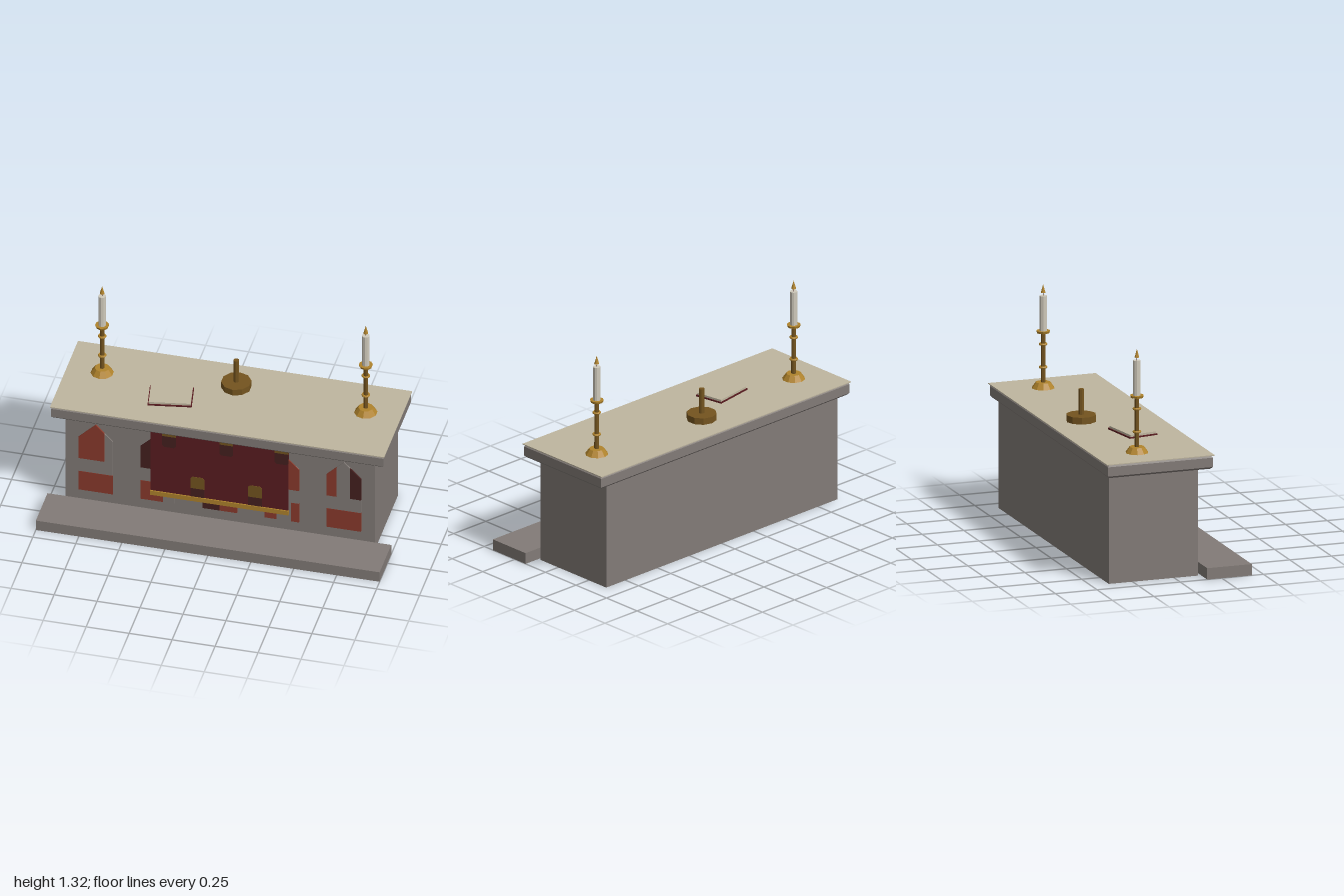
import * as THREE from 'three';

const mat = (name, color) => {
  const m = new THREE.MeshStandardMaterial({ color, flatShading: true });
  m.name = name;
  return m;
};

export function createModel() {
  const root = new THREE.Group();
  root.name = 'altar';
  const stone = mat('stone', 0x827b77);
  const linen = mat('linen', 0xbfb69f);
  const wax = mat('wax', 0xcfc9ba);
  const gold = mat('gold', 0xb0832c);
  const bronze = mat('bronze', 0x74541f);
  const brick = mat('brickRed', 0x8a3a2c);
  const crimson = mat('crimson', 0x5a1c20);
  const maroon = mat('maroon', 0x45201f);

  const add = (name, geo, material, x = 0, y = 0, z = 0, parent = root) => {
    const m = new THREE.Mesh(geo, material);
    m.name = name;
    m.position.set(x, y, z);
    parent.add(m);
    return m;
  };
  // box given by its lower and upper limits
  const block = (name, material, x0, x1, y0, y1, z0, z1) =>
    add(name, new THREE.BoxGeometry(x1 - x0, y1 - y0, z1 - z0), material,
      (x0 + x1) / 2, (y0 + y1) / 2, (z0 + z1) / 2);
  const plate = (pts, depth) => new THREE.ExtrudeGeometry(
    new THREE.Shape(pts.map(p => new THREE.Vector2(p[0], p[1]))), { depth, bevelEnabled: false });

  // Step, body and linen
  block('step', stone, -1, 1, 0, 0.066, 0.162, 0.43);
  block('body', stone, -0.9, 0.9, 0, 0.64, -0.393, 0.144);
  block('altarCloth', linen, -0.972, 0.972, 0.71, 0.715, -0.43, 0.216);

  // Table slab with chamfered edges
  const b = 0.012, w = 0.967 - b, d = 0.316 - b;
  const slab = new THREE.ExtrudeGeometry(
    new THREE.Shape([[-w, -d], [w, -d], [w, d], [-w, d]].map(p => new THREE.Vector2(...p))),
    { depth: 0.078 - 2 * b, bevelSize: b, bevelThickness: b, bevelSegments: 1 });
  slab.rotateX(-Math.PI / 2);
  add('tableSlab', slab, stone, 0, 0.632 + b, -0.106);

  // Pointed arch panels: a piece is clipped by the gable (x relative to the centre)
  const archPiece = (x0, x1, y0, y1, half, depth) => {
    const top = x => Math.min(y1, 0.487 + 0.1 * (1 - Math.abs(x) / half));
    const pts = [[x0, y0], [x1, y0], [x1, top(x1)]];
    if (x0 < 0 && x1 > 0 && y1 > 0.5) pts.push([0, top(0)]);
    pts.push([x0, top(x0)]);
    return plate(pts, depth);
  };
  const LOW = [0.12, 0.25], HIGH = [0.34, 0.6];
  const panels = [
    [-0.722, [[brick, -0.1, 0.1, LOW], [brick, -0.1, 0.05, HIGH]]],
    [-0.361, [[brick, -0.1, 0.03, LOW], [maroon, -0.1, 0.1, HIGH]]],
    [0, [[maroon, -0.1, 0, LOW], [brick, 0, 0.1, LOW], [brick, -0.1, 0.1, HIGH]]],
    [0.361, [[brick, -0.1, -0.03, LOW], [brick, 0.055, 0.1, LOW], [brick, -0.1, 0.1, HIGH]]],
    [0.722, [[brick, -0.1, 0.1, LOW], [brick, -0.1, -0.042, HIGH], [maroon, 0.035, 0.1, HIGH]]],
  ];
  for (const [cx, pieces] of panels) {
    add('archPanel', archPiece(-0.099, 0.099, 0.121, 0.586, 0.099, 0.009), stone, cx, 0, 0.144);
    for (const [m, x0, x1, [y0, y1]] of pieces)
      add('panelInlay', archPiece(x0, x1, y0, y1, 0.1, 0.009), m, cx, 0, 0.1455);
  }

  // Hanging frontal with gold hem and tab motifs
  block('frontal', crimson, -0.4, 0.4, 0.17, 0.632, 0.145, 0.161);
  block('frontalHem', gold, -0.403, 0.403, 0.168, 0.197, 0.15, 0.168);
  const c = 0.012, h = 0.04;
  for (const x of [-0.293, 0.04, 0.362]) {
    block('motifBand', bronze, x - h, x + h, 0.59, 0.632, 0.161, 0.163);
    add('motifTab', plate([[-h, 0.59], [-h, 0.515 + c], [c - h, 0.515], [h - c, 0.515], [h, 0.515 + c], [h, 0.59]], 0.002),
      maroon, x, 0, 0.161);
  }
  for (const x of [-0.128, 0.207]) {
    add('motifCap', plate([[-h, 0.255], [h, 0.255], [h, 0.335 - c], [h - c, 0.335], [c - h, 0.335], [-h, 0.335 - c]], 0.002),
      bronze, x, 0, 0.161);
    block('motifTail', maroon, x - h, x + h, 0.197, 0.255, 0.161, 0.163);
  }

  // Candlesticks
  const cyl = (rt, rb, len, n) => new THREE.CylinderGeometry(rt, rb, len, n);
  for (const side of [-1, 1]) {
    const g = new THREE.Group();
    g.name = side > 0 ? 'leftCandlestick' : 'rightCandlestick';
    g.position.set(side * 0.767, 0, -0.175);
    root.add(g);
    add('foot', cyl(0.042, 0.066, 0.034, 10), gold, 0, 0.732, 0, g);
    add('stem', cyl(0.013, 0.014, 0.295, 8), bronze, 0, 0.893, 0, g);
    for (const y of [0.836, 0.97]) {
      const ring = new THREE.TorusGeometry(0.018, 0.007, 6, 12);
      ring.rotateX(Math.PI / 2);
      add('stemRing', ring, gold, 0, y, 0, g);
    }
    add('dripTray', cyl(0.04, 0.036, 0.013, 10), gold, 0, 1.042, 0, g);
    add('candle', cyl(0.022, 0.022, 0.204, 10), wax, 0, 1.15, 0, g);
    add('wick', cyl(0.002, 0.002, 0.024, 5), maroon, 0, 1.262, 0, g);
    add('flame', new THREE.ConeGeometry(0.014, 0.05, 8), gold, 0, 1.294, 0, g);
  }

  // Standing post on a round foot
  add('postFoot', cyl(0.086, 0.086, 0.039, 10), bronze, 0, 0.7345, -0.228);
  add('post', cyl(0.016, 0.016, 0.155, 8), bronze, 0, 0.8245, -0.228);

  // Book lying at an angle
  const book = new THREE.Group();
  book.name = 'book';
  book.position.set(-0.334, 0, -0.042);
  book.rotation.y = 0.17;
  root.add(book);
  add('bookCover', new THREE.BoxGeometry(0.25, 0.008, 0.178), crimson, 0, 0.719, 0, book);
  add('bookPages', new THREE.BoxGeometry(0.238, 0.013, 0.166), linen, 0, 0.7285, 0, book);

  return root;
}
